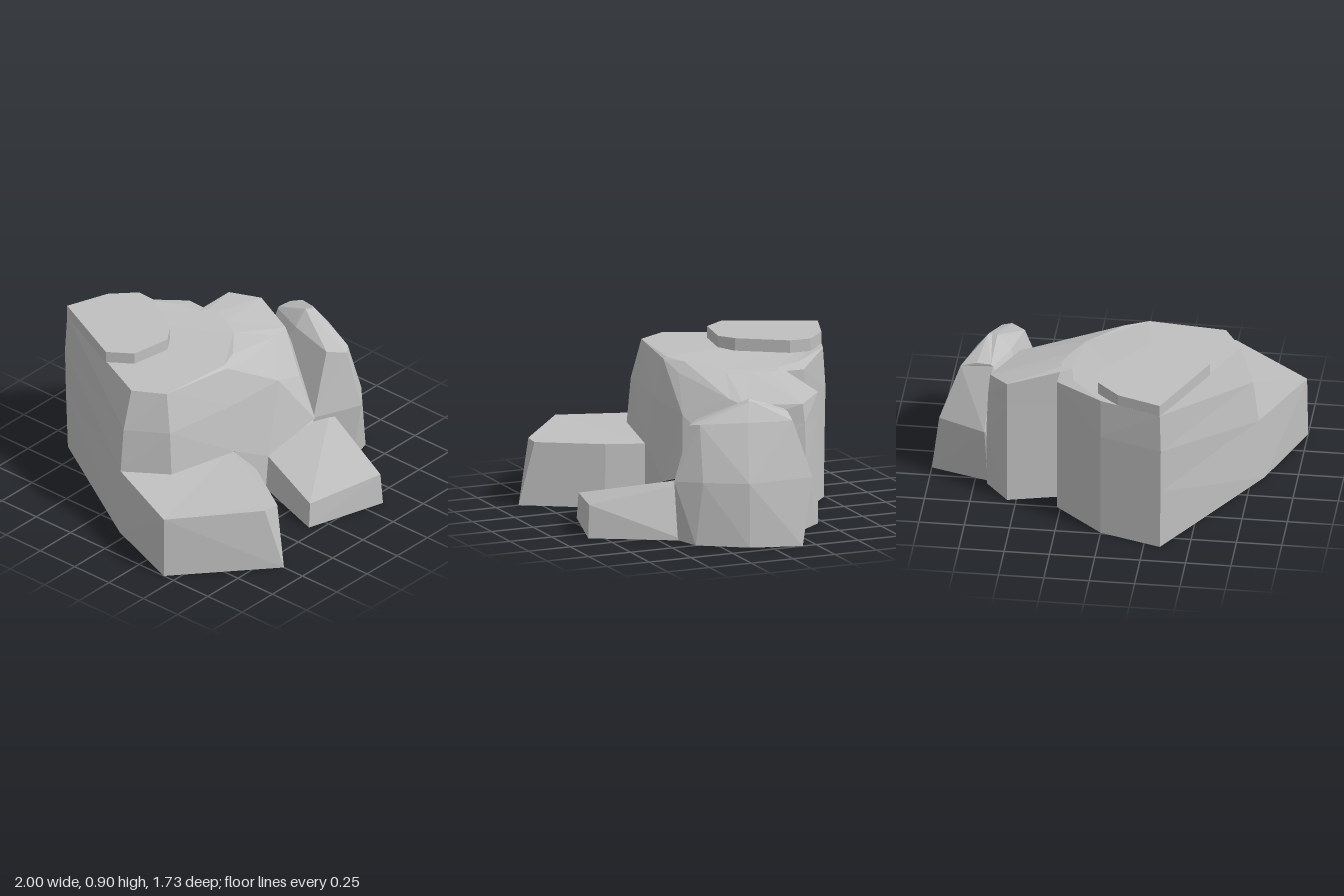
import * as THREE from 'three';

const stone = new THREE.MeshStandardMaterial({ color: 0xc0c0c0, flatShading: true, side: THREE.DoubleSide });
stone.name = 'grey stone';

// Faceted shell open at the ground: rings run clockwise seen from above, the last one is capped.
// skip lists segments of the lowest wall left out where another rock joins.
function rock(name, skip, ...rings) {
  const pos = [];
  const V = p => new THREE.Vector3(...p);
  const cross = (a, b, c) => V(b).sub(V(a)).cross(V(c).sub(V(a)));
  const tri = (a, b, c) => {
    if (cross(a, b, c).length() > 1e-6) pos.push(...a, ...b, ...c);
  };
  const n = rings[0].length;
  for (let r = 0; r < rings.length - 1; r++) {
    const lo = rings[r], hi = rings[r + 1];
    for (let i = 0; i < n; i++) {
      if (r === 0 && skip.includes(i)) continue;
      const j = (i + 1) % n;
      // fold each quad along the diagonal that bulges outwards
      const bulges = cross(lo[j], lo[i], hi[i]).dot(V(hi[j]).sub(V(lo[j]))) <= 0;
      if (bulges) {
        tri(lo[j], lo[i], hi[i]);
        tri(lo[j], hi[i], hi[j]);
      } else {
        tri(lo[j], lo[i], hi[j]);
        tri(lo[i], hi[i], hi[j]);
      }
    }
  }
  // cap, always facing up
  const top = rings[rings.length - 1];
  const flat = top.map(p => new THREE.Vector2(p[0], p[2]));
  for (const [a, b, c] of THREE.ShapeUtils.triangulateShape(flat, [])) {
    if (cross(top[a], top[b], top[c]).y > 0) tri(top[a], top[b], top[c]);
    else tri(top[a], top[c], top[b]);
  }
  const g = new THREE.BufferGeometry();
  g.setAttribute('position', new THREE.Float32BufferAttribute(pos, 3));
  g.computeVertexNormals();
  const mesh = new THREE.Mesh(g, stone);
  mesh.name = name;
  return mesh;
}

export function createModel() {
  const group = new THREE.Group();
  group.name = 'rockCluster';

  // Main rock: ground, lower belt, upper belt, rim, plateau
  const ground = [[-0.34, 0, -0.85], [0, 0, -0.74], [0.27, 0, -0.5], [0.27, 0, -0.39], [0.55, 0, -0.46], [0.68, 0, -0.3],
    [0.6, 0, 0], [0.36, 0, 0.32], [0.05, 0, 0.25], [-0.2, 0, 0.24], [-0.63, 0, 0.16], [-0.82, 0, -0.05]];
  const lower = [[-0.345, 0.36, -0.86], [0, 0.36, -0.745], [0.27, 0.36, -0.5], [0.27, 0.36, -0.39], [0.55, 0.36, -0.46], [0.68, 0.36, -0.33],
    [0.58, 0.36, 0], [0.41, 0.3, 0.29], [0.07, 0.2, 0.25], [-0.2, 0.35, 0.24], [-0.63, 0.37, 0.16], [-0.79, 0.37, -0.07]];
  const upper = [[-0.347, 0.62, -0.865], [0, 0.62, -0.75], [0.27, 0.6, -0.5], [0.27, 0.6, -0.39], [0.55, 0.6, -0.46], [0.67, 0.6, -0.33],
    [0.55, 0.6, 0], [0.42, 0.52, 0.17], [0.21, 0.6, 0.2], [-0.17, 0.62, 0.205], [-0.62, 0.62, 0.14], [-0.76, 0.62, -0.075]];
  const rim = [[-0.34, 0.84, -0.855], [0, 0.84, -0.735], [0.27, 0.8, -0.5], [0.265, 0.8, -0.39], [0.55, 0.74, -0.46], [0.66, 0.71, -0.32],
    [0.53, 0.7, -0.03], [0.42, 0.715, 0.01], [0, 0.785, 0.13], [-0.16, 0.83, 0.15], [-0.59, 0.84, 0.09], [-0.69, 0.84, -0.08]];
  const plateau = [[-0.34, 0.84, -0.855], [-0.01, 0.84, -0.73], [0.18, 0.82, -0.5], [0.2, 0.815, -0.38], [0.26, 0.81, -0.35], [0.27, 0.808, -0.3],
    [0.23, 0.81, -0.2], [0.16, 0.815, -0.08], [-0.03, 0.835, 0.08], [-0.16, 0.84, 0.13], [-0.59, 0.84, 0.09], [-0.69, 0.84, -0.08]];
  group.add(rock('mainRock', [5, 6, 7, 9, 10], ground, lower, upper, rim, plateau));

  // Slab lying flush with the back corner of the main rock
  const outline = [[-0.34, -0.855], [-0.1, -0.77], [0.025, -0.65], [0.02, -0.53], [-0.15, -0.275], [-0.24, -0.213], [-0.47, -0.25], [-0.56, -0.38]];
  const at = y => outline.map(([x, z]) => [x, y, z]);
  group.add(rock('topSlab', [], at(0.835), at(0.905)));

  // Rounded boulder on the left side
  group.add(rock('sideBoulder', [5],
    [[0.68, 0, -0.27], [1, 0, -0.17], [0.92, 0, 0.11], [0.75, 0, 0.36], [0.6, 0, 0.4], [0.4, 0, 0.25], [0.5, 0, -0.2]],
    [[0.69, 0.35, -0.34], [0.95, 0.37, -0.25], [0.89, 0.35, 0.1], [0.76, 0.35, 0.32], [0.63, 0.34, 0.435], [0.41, 0.3, 0.28], [0.48, 0.35, -0.2]],
    [[0.66, 0.69, -0.2], [0.84, 0.67, -0.18], [0.775, 0.665, 0.06], [0.67, 0.655, 0.3], [0.62, 0.645, 0.34], [0.54, 0.655, 0.26], [0.58, 0.69, 0]],
    [[0.67, 0.7, -0.2], [0.75, 0.7, -0.19], [0.715, 0.765, 0], [0.71, 0.765, 0.02], [0.69, 0.765, 0.02], [0.66, 0.77, 0], [0.65, 0.75, -0.03]]));

  // Wide block in front on the right side
  group.add(rock('frontBlock', [5],
    [[-0.2, 0, 0.24], [-0.25, 0, 0.46], [-0.5, 0, 0.865], [-0.5, 0, 0.865], [-1, 0, 0.43], [-0.82, 0, -0.05]],
    [[-0.2, 0.35, 0.22], [-0.26, 0.355, 0.45], [-0.465, 0.355, 0.785], [-0.56, 0.358, 0.78], [-0.995, 0.357, 0.425], [-0.785, 0.37, -0.08]]));

  // Low sloping block in front of the boulder
  group.add(rock('lowBlock', [3, 4],
    [[0.63, 0, 0.36], [0.36, 0, 0.83], [-0.1, 0, 0.695], [0.05, 0, 0.25], [0.36, 0, 0.25]],
    [[0.525, 0.3, 0.3], [0.35, 0.185, 0.82], [-0.085, 0.145, 0.69], [0.08, 0.2, 0.22], [0.41, 0.3, 0.25]]));

  return group;
}
